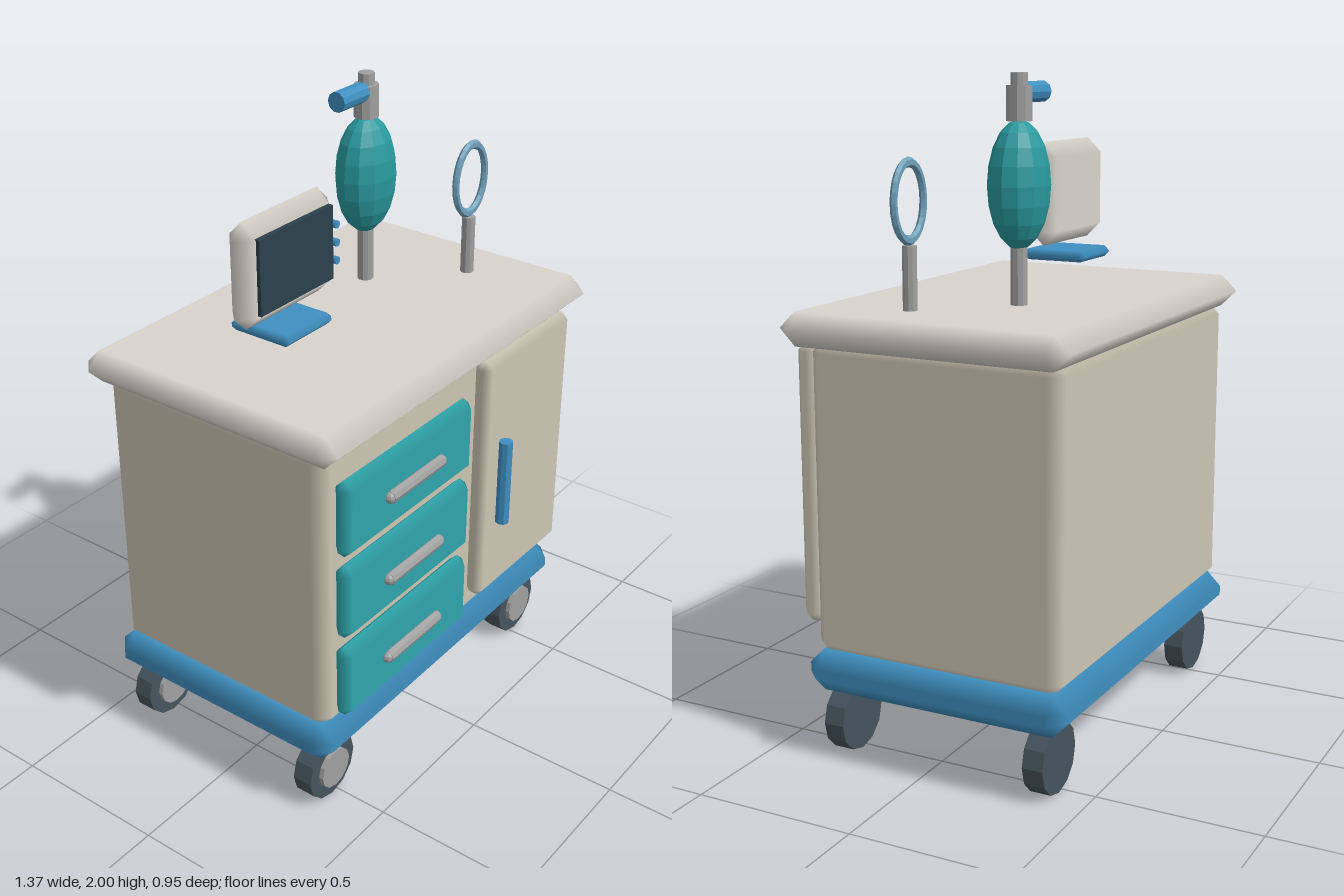
import * as THREE from 'three';

const mat = (color, flatShading = false) => new THREE.MeshStandardMaterial({ color, flatShading });
const M = {
  body: mat(0xcbc5b3), top: mat(0xd8d4cc), teal: mat(0x2fa5ab), blue: mat(0x3f8fc0),
  screen: mat(0x2b414b), tyre: mat(0x46545e, true), metal: mat(0xa0a0a0, true),
  tealFlat: mat(0x2a9a9f, true), blueFlat: mat(0x3f8fc0, true), ring: mat(0x6fa0ba, true),
};

// Box with one chamfer on every edge; normals follow the flat faces so the chamfers shade softly.
function chamferBox(w, h, d, c) {
  const half = [w / 2, h / 2, d / 2], pos = [], nor = [], idx = [];
  const id = (axis, s) => axis * 8 + (s[0] > 0 ? 4 : 0) + (s[1] > 0 ? 2 : 0) + (s[2] > 0 ? 1 : 0);
  for (let axis = 0; axis < 3; axis++)
    for (const x of [-1, 1]) for (const y of [-1, 1]) for (const z of [-1, 1]) {
      const s = [x, y, z];
      for (let k = 0; k < 3; k++) {
        pos.push(s[k] * (k === axis ? half[k] : half[k] - c));
        nor.push(k === axis ? s[k] : 0);
      }
    }
  // adds a triangle turned so that it faces along dir
  const tri = (a, b, e, dir) => {
    const v = (i) => new THREE.Vector3().fromArray(nor, i * 3).multiplyScalar(0.3)
      .add(new THREE.Vector3(...[4, 2, 1].map((m) => ((i % 8) & m ? 1 : -1))));
    const n = v(b).sub(v(a)).cross(v(e).sub(v(a)));
    idx.push(...(n.dot(dir) > 0 ? [a, b, e] : [a, e, b]));
  };
  const quad = (q, dir) => { tri(q[0], q[1], q[2], dir); tri(q[0], q[2], q[3], dir); };
  const signs = (o) => [0, 1, 2].map((k) => o[k]);
  for (let a = 0; a < 3; a++) {
    const b = (a + 1) % 3, e = (a + 2) % 3;
    for (const sa of [-1, 1]) {
      const dir = new THREE.Vector3().setComponent(a, sa);
      quad([[-1, -1], [1, -1], [1, 1], [-1, 1]].map(([p, q]) => id(a, signs({ [a]: sa, [b]: p, [e]: q }))), dir);
      for (const sb of [-1, 1]) {
        const lo = signs({ [a]: sa, [b]: sb, [e]: -1 }), hi = signs({ [a]: sa, [b]: sb, [e]: 1 });
        quad([id(a, lo), id(a, hi), id(b, hi), id(b, lo)], dir.clone().setComponent(b, sb));
      }
    }
  }
  for (const x of [-1, 1]) for (const y of [-1, 1]) for (const z of [-1, 1]) {
    const s = [x, y, z];
    tri(id(0, s), id(1, s), id(2, s), new THREE.Vector3(x, y, z));
  }
  const g = new THREE.BufferGeometry();
  g.setAttribute('position', new THREE.Float32BufferAttribute(pos, 3));
  g.setAttribute('normal', new THREE.Float32BufferAttribute(nor, 3));
  g.setIndex(idx);
  return g;
}

export function createModel() {
  const root = new THREE.Group();
  const add = (name, geo, material, x, y, z, parent = root) => {
    const m = new THREE.Mesh(geo, material);
    m.name = name;
    m.position.set(x, y, z);
    parent.add(m);
    return m;
  };
  // chamfered box given by its limits
  const block = (name, material, [x0, x1], [y0, y1], [z0, z1], c) =>
    add(name, chamferBox(x1 - x0, y1 - y0, z1 - z0, c), material, (x0 + x1) / 2, (y0 + y1) / 2, (z0 + z1) / 2);
  const rod = (r, len, axis = 'y', sides = 10) => {
    const g = new THREE.CylinderGeometry(r, r, len, sides);
    if (axis === 'x') g.rotateZ(Math.PI / 2);
    if (axis === 'z') g.rotateX(Math.PI / 2);
    return g;
  };

  // Cabinet
  block('base', M.blue, [-0.65, 0.65], [0.2, 0.33], [-0.46, 0.39], 0.05);
  block('cabinetBody', M.body, [-0.617, 0.617], [0.31, 1.26], [-0.437, 0.367], 0.04);
  block('worktop', M.top, [-0.683, 0.683], [1.24, 1.34], [-0.475, 0.44], 0.05);

  // Drawers with bar handles
  for (const y of [0.485, 0.765, 1.042]) {
    block('drawer', M.teal, [-0.58, 0.055], [y - 0.125, y + 0.125], [0.363, 0.423], 0.03);
    add('drawerHandle', rod(0.02, 0.25, 'x', 8), M.metal, -0.26, y, 0.427);
    for (const s of [-1, 1])
      add('handleEnd', new THREE.SphereGeometry(0.018, 8, 6), M.metal, -0.26 + s * 0.125, y, 0.427);
  }

  // Door
  block('door', M.body, [0.115, 0.592], [0.4, 1.24], [0.363, 0.423], 0.022);
  add('doorHandle', rod(0.022, 0.29, 'y', 8), M.blueFlat, 0.185, 0.82, 0.453);

  // Wheels
  for (const x of [-0.525, 0.525]) for (const z of [0.293, -0.365]) {
    const wheel = new THREE.Group();
    wheel.name = 'wheel';
    wheel.position.set(x, 0.107, z);
    root.add(wheel);
    add('tyre', rod(0.107, 0.064, 'z', 12), M.tyre, 0, 0, 0, wheel);
    add('hub', rod(0.065, 0.04, 'z', 12), M.metal, 0, 0, 0.027, wheel);
  }

  // Monitor
  block('monitorCase', M.top, [-0.515, -0.105], [1.465, 1.785], [-0.055, 0.038], 0.045);
  add('screen', new THREE.BoxGeometry(0.32, 0.225, 0.02), M.screen, -0.31, 1.632, 0.04);
  for (const y of [1.57, 1.625, 1.68])
    add('monitorButton', rod(0.012, 0.025, 'z', 8), M.blueFlat, -0.133, y, 0.04);
  block('monitorStand', M.blue, [-0.42, -0.2], [1.41, 1.445], [-0.12, 0.095], 0.017);

  // Squeeze bag on its post
  const bx = 0.23, bz = -0.118;
  add('bagPost', rod(0.025, 0.2), M.metal, bx, 1.43, bz);
  add('bag', new THREE.SphereGeometry(1, 12, 10).scale(0.109, 0.185, 0.087), M.tealFlat, bx, 1.685, bz);
  add('bagNeck', rod(0.038, 0.1), M.metal, bx, 1.915, bz);
  add('bagValve', rod(0.025, 0.06), M.metal, bx, 1.97, bz);
  add('bagPipe', rod(0.031, 0.14, 'x'), M.blueFlat, 0.155, 1.945, bz);

  // Oval ring on its post
  add('ringPost', rod(0.021, 0.185), M.metal, 0.465, 1.4325, 0.108);
  add('ring', new THREE.TorusGeometry(0.08, 0.011, 6, 24).scale(1, 1.37, 1), M.ring, 0.465, 1.648, 0.108);

  return root;
}
